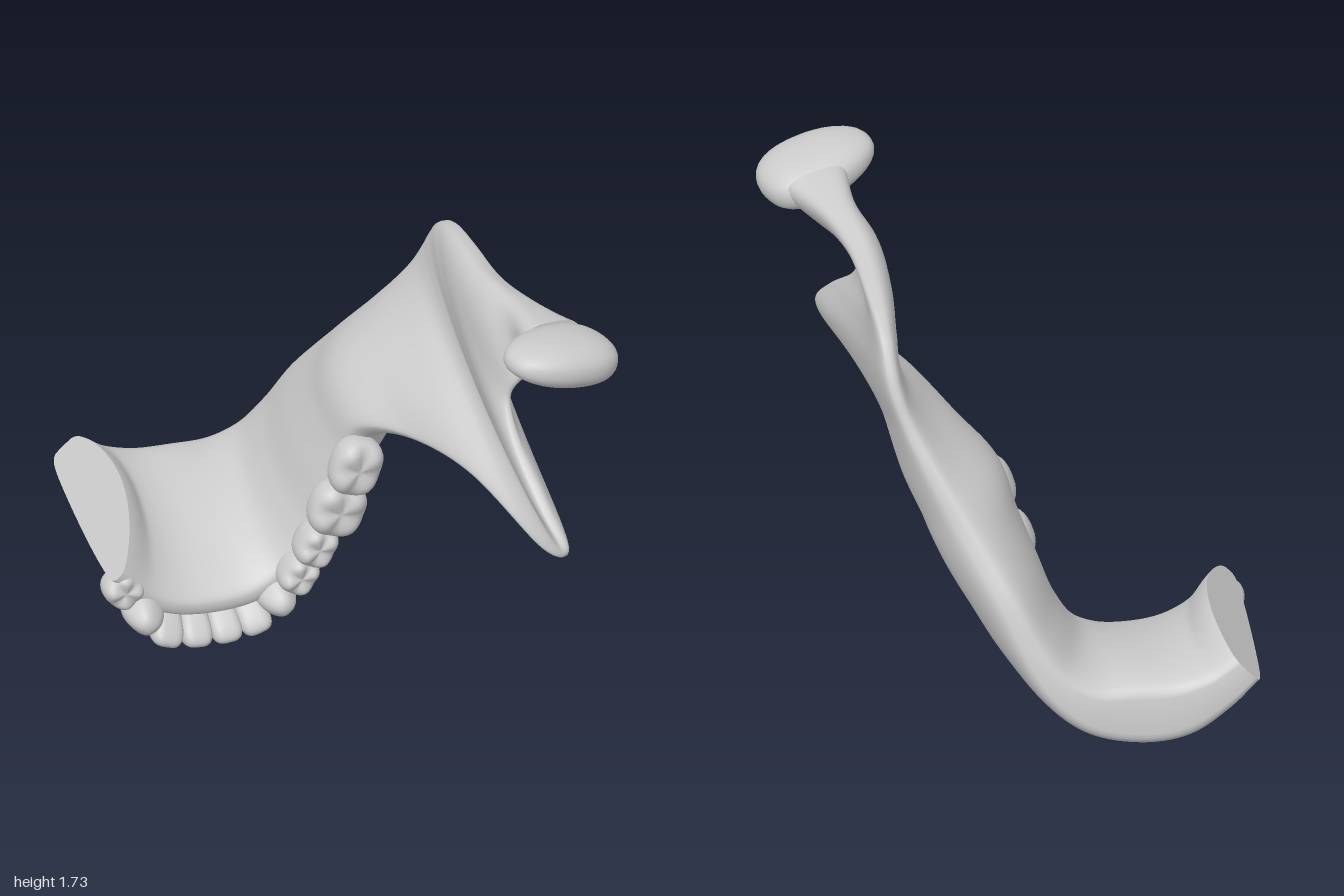
import * as THREE from 'three';
import { mergeVertices } from 'three/addons/utils/BufferGeometryUtils.js';

const bone = new THREE.MeshStandardMaterial({ color: 0xcccccc });
const cutBone = new THREE.MeshStandardMaterial({ color: 0xcccccc, side: THREE.DoubleSide });

// Cross-sections: base edge x y z, upper edge x y z, half thickness at base, middle, upper edge
const bodySections = [
  [-0.70, 0.43, -0.99, -0.76, 0.365, -0.19, 0.10, 0.115, 0.07],
  [-0.59, 0.35, -1.00, -0.65, 0.24, -0.20, 0.12, 0.12, 0.08],
  [-0.45, 0.285, -1.00, -0.52, 0.17, -0.20, 0.16, 0.13, 0.08],
  [-0.30, 0.275, -0.99, -0.36, 0.15, -0.20, 0.17, 0.13, 0.08],
  [-0.14, 0.30, -0.98, -0.22, 0.17, -0.20, 0.14, 0.13, 0.08],
  [-0.01, 0.39, -0.95, -0.10, 0.25, -0.20, 0.11, 0.12, 0.08],
  [0.08, 0.53, -0.90, 0.00, 0.40, -0.18, 0.10, 0.13, 0.09],
  [0.16, 0.70, -0.83, 0.06, 0.58, -0.16, 0.10, 0.145, 0.10],
  [0.245, 0.85, -0.735, 0.11, 0.75, -0.13, 0.10, 0.155, 0.10],
  [0.32, 0.98, -0.65, 0.14, 0.89, -0.06, 0.09, 0.16, 0.08],
];
const ramusSections = [
  [0.39, 1.12, -0.57, 0.25, 0.96, 0.14, 0.08, 0.135, 0.05],
  [0.46, 1.27, -0.49, 0.37, 0.98, 0.46, 0.07, 0.09, 0.05],
  [0.50, 1.39, -0.44, 0.50, 0.89, 0.87, 0.07, 0.06, 0.05],
  [0.515, 1.47, -0.40, 0.55, 0.93, 0.995, 0.07, 0.05, 0.05],
  [0.52, 1.555, -0.33, 0.51, 1.05, 0.90, 0.07, 0.05, 0.05],
  [0.525, 1.61, -0.22, 0.47, 1.21, 0.70, 0.07, 0.045, 0.04],
  [0.53, 1.635, -0.05, 0.47, 1.34, 0.58, 0.07, 0.045, 0.03],
  [0.54, 1.65, 0.18, 0.50, 1.43, 0.59, 0.07, 0.055, 0.03],
  [0.58, 1.675, 0.42, 0.56, 1.48, 0.62, 0.085, 0.07, 0.05],
  [0.62, 1.70, 0.64, 0.60, 1.52, 0.67, 0.14, 0.11, 0.06],
];
const sections = [...bodySections, ...ramusSections];
const curveOf = k => new THREE.CatmullRomCurve3(
  sections.map(s => new THREE.Vector3(s[k], s[k + 1], s[k + 2])), false, 'catmullrom', 0.5);
const baseEdge = curveOf(0), upperEdge = curveOf(3), thickness = curveOf(6);

// Point on the bone: t runs along the jaw, v once around the section
function bonePoint(t, v) {
  const { smoothstep } = THREE.MathUtils;
  const a = baseEdge.getPoint(t), b = upperEdge.getPoint(t), h = thickness.getPoint(t);
  const mid = u => baseEdge.getPoint(u).lerp(upperEdge.getPoint(u), 0.4);
  const tangent = mid(Math.min(1, t + 0.01)).sub(mid(Math.max(0, t - 0.01)));
  const normal = tangent.cross(b.clone().sub(a)).normalize();
  const angle = v * Math.PI * 2, s = (1 - Math.cos(angle)) / 2, sin = Math.sin(angle);
  const half = h.x * (1 - s) * (1 - 2 * s) + h.y * 4 * s * (1 - s) + h.z * s * (2 * s - 1);
  // the base edge is blunter at the chin
  const power = 0.65 - 0.25 * (1 - s) * (1 - smoothstep(t, 0.15, 0.4));
  const offset = Math.sign(sin) * Math.pow(Math.abs(sin), power) * half;
  // hollow on the outside at the cut and the ramus, full beside the molars
  const bow = -0.2 + 0.12 * smoothstep(t, 0, 0.06) + 0.2 * smoothstep(t, 0.2, 0.42)
    - 0.24 * smoothstep(t, 0.48, 0.68) + 0.12 * smoothstep(t, 0.85, 1);
  return a.lerp(b, s).addScaledVector(normal, offset + bow * s * (1 - s));
}

function boneGeometry() {
  const g = new THREE.PlaneGeometry(1, 1, 180, 64);
  const p = g.attributes.position, uv = g.attributes.uv;
  for (let i = 0; i < p.count; i++) {
    const q = bonePoint(uv.getX(i), uv.getY(i) % 1);
    p.setXYZ(i, q.x, q.y, q.z);
  }
  g.deleteAttribute('uv');
  g.deleteAttribute('normal');
  const merged = mergeVertices(g, 1e-5);
  merged.computeVertexNormals();
  return merged;
}

// Flat face closing one end of the bone
function endGeometry(t) {
  const g = new THREE.CircleGeometry(1, 64), p = g.attributes.position;
  const c = bonePoint(t, 0.25).lerp(bonePoint(t, 0.75), 0.5);
  p.setXYZ(0, c.x, c.y, c.z);
  for (let i = 1; i < p.count; i++) {
    const q = bonePoint(t, ((i - 1) / 64) % 1);
    p.setXYZ(i, q.x, q.y, q.z);
  }
  g.computeVertexNormals();
  return g;
}

// Deform a smooth ball by a rule on each vertex
function ball(rule) {
  const g = new THREE.SphereGeometry(1, 32, 24).rotateX(Math.PI / 2);
  const p = g.attributes.position, v = new THREE.Vector3();
  for (let i = 0; i < p.count; i++) {
    rule(v.fromBufferAttribute(p, i));
    p.setXYZ(i, v.x, v.y, v.z);
  }
  g.deleteAttribute('uv');
  g.deleteAttribute('normal');
  const merged = mergeVertices(g, 1e-4);
  merged.computeVertexNormals();
  return merged;
}
const square = (n, e) => Math.sign(n) * Math.pow(Math.abs(n), e);

// Back teeth: squarish crown with a cross-shaped groove between cusps
const grinderGeometry = ball(v => {
  const { x, y, z } = v;
  const r = Math.hypot(x, y);
  const cusps = Math.abs(Math.sin(2 * Math.atan2(y, x))) * Math.min(1, r * 1.6);
  v.set(square(x, 0.8), square(y, 0.8), square(z, 0.7));
  if (z > 0) v.z -= z * (0.3 - 0.28 * cusps);
  const neck = z < 0 ? 1 + 0.15 * z : 1;
  v.x *= neck;
  v.y *= neck;
});

// Front teeth: wide blade, thin at the biting edge
const incisorGeometry = ball(v => {
  v.set(square(v.x, 0.6), square(v.y, 0.9), square(v.z, 0.7));
  v.x *= 0.94 + 0.1 * v.z;
  v.y *= 0.8 - 0.3 * v.z;
});

// Canines: single blunt point
const canineGeometry = ball(v => {
  const taper = v.z > 0 ? 1 - 0.25 * v.z : 1;
  v.set(square(v.x, 0.8) * taper, square(v.y, 0.8) * taper, square(v.z, 0.85));
});

// name, geometry, centre x y z, half width along arch, half depth, half height, turn, lean
const teeth = [
  ['secondMolar', grinderGeometry, 0.105, 0.745, -0.075, 0.115, 0.095, 0.085, 1.25, 0],
  ['firstMolar', grinderGeometry, 0.05, 0.545, -0.125, 0.11, 0.105, 0.09, 1.22, 0],
  ['secondPremolar', grinderGeometry, -0.015, 0.37, -0.175, 0.085, 0.075, 0.09, 1.1, 0],
  ['firstPremolar', grinderGeometry, -0.078, 0.25, -0.19, 0.078, 0.07, 0.09, 1.0, 0],
  ['canine', canineGeometry, -0.15, 0.145, -0.235, 0.072, 0.07, 0.11, 0.75, 0.2],
  ['lateralIncisor', incisorGeometry, -0.24, 0.08, -0.25, 0.064, 0.075, 0.105, 0.3, 0.4],
  ['centralIncisor', incisorGeometry, -0.347, 0.066, -0.25, 0.062, 0.075, 0.105, 0.08, 0.4],
  ['centralIncisor', incisorGeometry, -0.457, 0.07, -0.25, 0.062, 0.075, 0.105, -0.1, 0.4],
  ['lateralIncisor', incisorGeometry, -0.565, 0.092, -0.25, 0.064, 0.075, 0.105, -0.35, 0.4],
  ['canine', canineGeometry, -0.655, 0.175, -0.23, 0.078, 0.07, 0.11, -0.85, 0.15],
  ['firstPremolar', grinderGeometry, -0.73, 0.285, -0.245, 0.075, 0.07, 0.08, -0.85, 0],
];

export function createModel() {
  const group = new THREE.Group();
  const add = (name, geometry, material = bone) => {
    const mesh = new THREE.Mesh(geometry, material);
    mesh.name = name;
    group.add(mesh);
    return mesh;
  };

  // Jaw bone with its cut end
  add('jawBone', boneGeometry());
  add('cutFace', endGeometry(0), cutBone);
  add('neckEnd', endGeometry(1), cutBone);

  // Joint head: blunt on the outer side, narrower on the inner
  const condyle = add('jointHead', ball(v => {
    const grow = 1 + 0.16 * v.x;
    v.set(square(v.x, 0.9), square(v.y, 0.85) * grow, square(v.z, 0.85) * grow);
  }));
  condyle.scale.set(0.225, 0.09, 0.16);
  condyle.position.set(0.595, 1.638, 0.778);
  condyle.rotation.set(0, 0.32, -0.23);

  // Teeth along the arch
  for (const [name, geometry, x, y, z, w, d, h, turn, lean] of teeth) {
    const tooth = add(name, geometry);
    tooth.position.set(x, y, z);
    tooth.scale.set(w, d, h);
    tooth.rotation.set(lean, 0, turn, 'ZXY');
  }
  return group;
}
